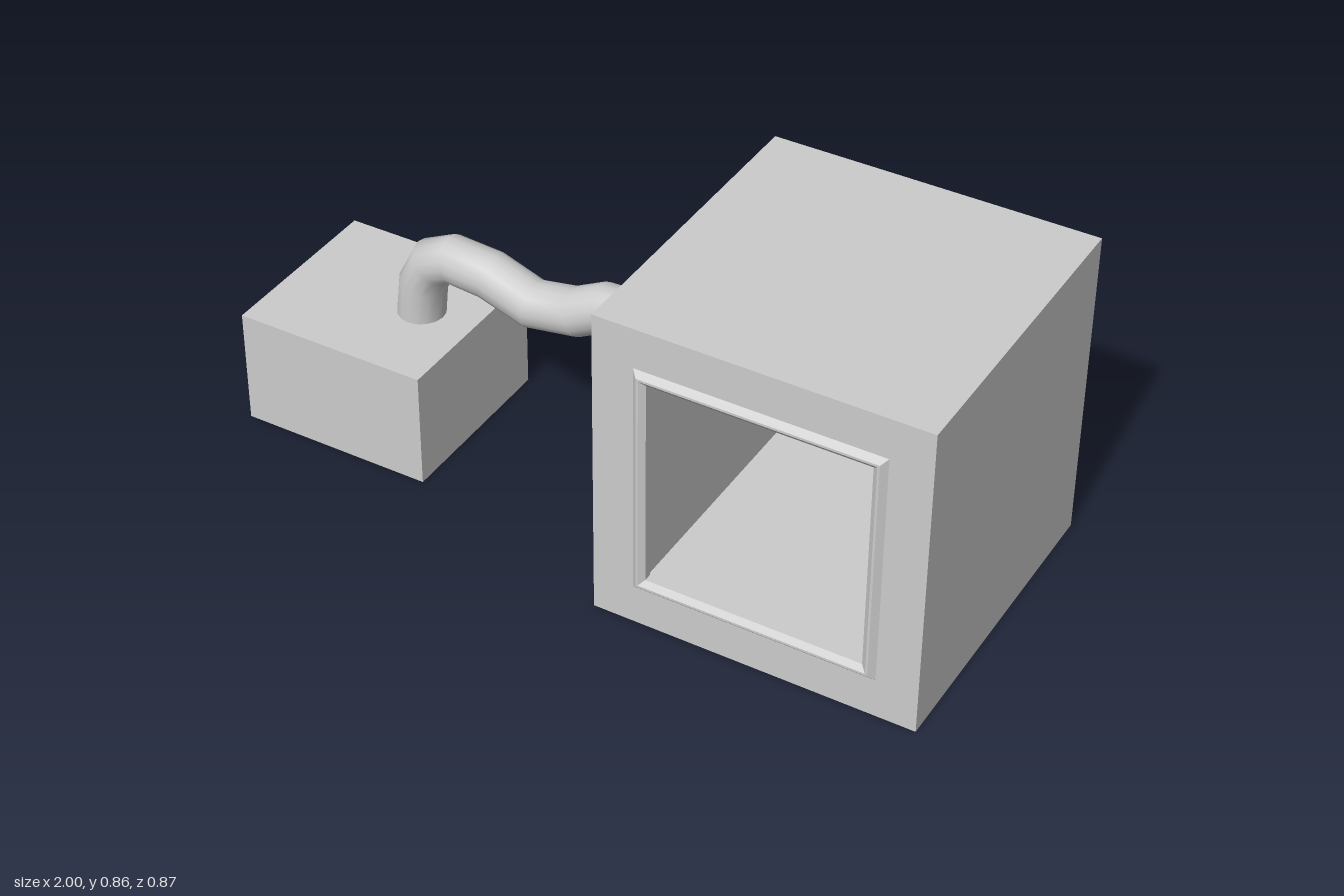
import * as THREE from 'three';

const grey = new THREE.MeshStandardMaterial({ color: 0xcccccc });
const flat = new THREE.MeshStandardMaterial({ color: 0xcccccc, flatShading: true, side: THREE.DoubleSide });

function add(parent, name, geometry, material, x, y, z) {
  const mesh = new THREE.Mesh(geometry, material);
  mesh.name = name;
  mesh.position.set(x, y, z);
  parent.add(mesh);
  return mesh;
}

// Counter-clockwise square outline centred on the origin
function square(half, Type) {
  return new Type([[-1, -1], [1, -1], [1, 1], [-1, 1]].map(([x, y]) => new THREE.Vector2(x * half, y * half)));
}

export function createModel() {
  const model = new THREE.Group();
  const size = 0.856, cx = 0.572, cy = size / 2, cz = -0.007;
  const frontZ = cz + size / 2, depth = 0.67;

  // Large box, hollow behind a square opening in the front
  const cabinet = new THREE.Group();
  cabinet.name = 'cabinet';
  model.add(cabinet);
  const outline = square(size / 2, THREE.Shape);
  outline.holes.push(square(0.295, THREE.Path));
  add(cabinet, 'cabinetWalls', new THREE.ExtrudeGeometry(outline, { depth, bevelEnabled: false }),
    grey, cx, cy, frontZ - depth);
  const backDepth = size - depth;
  add(cabinet, 'cabinetBack', new THREE.BoxGeometry(size, size, backDepth),
    grey, cx, cy, frontZ - depth - backDepth / 2);

  // Bevelled frame: a four-sided lathe, profile given as half-width and height
  const profile = [[0.285, -0.02], [0.285, 0.002], [0.299, 0.014], [0.305, 0.014], [0.32, 0], [0.32, -0.005]]
    .map(([half, h]) => new THREE.Vector2(half * Math.SQRT2, h)).reverse();
  const frame = new THREE.LatheGeometry(profile, 4, Math.PI / 4);
  frame.rotateX(Math.PI / 2);
  add(model, 'openingFrame', frame, flat, cx, cy, frontZ);

  // Small box
  add(model, 'baseBox', new THREE.BoxGeometry(0.532, 0.32, 0.496), grey, -0.734, 0.16, -0.008);

  // Collar where the pipe enters the large box
  const collar = new THREE.CylinderGeometry(0.085, 0.085, 0.12, 16);
  collar.rotateZ(Math.PI / 2);
  add(model, 'pipeCollar', collar, grey, 0.1, 0.528, -0.011);

  // Wavy pipe, with one ring at each path point
  const points = [[-0.625, 0.28], [-0.623, 0.32], [-0.613, 0.415], [-0.58, 0.485], [-0.52, 0.513], [-0.41, 0.505],
    [-0.287, 0.463], [-0.16, 0.485], [-0.08, 0.527], [0, 0.53], [0.1, 0.53]]
    .map(([x, y]) => new THREE.Vector3(x, y, 0));
  const path = new THREE.CatmullRomCurve3(points);
  path.getUtoTmapping = (u) => u;
  add(model, 'pipe', new THREE.TubeGeometry(path, points.length - 1, 0.063, 16), grey, 0, 0, -0.011);

  return model;
}
